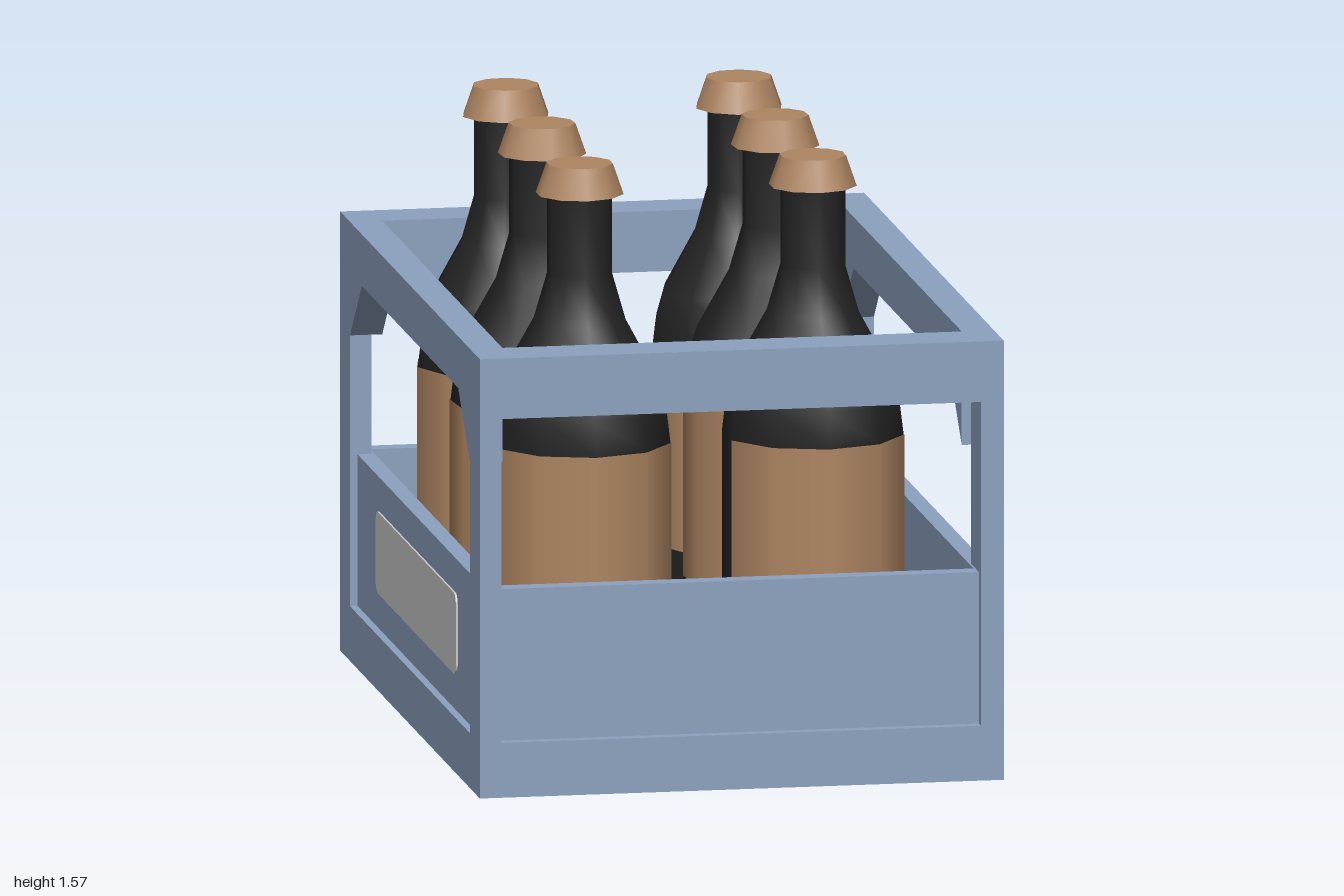
import * as THREE from 'three';

const mat = (name, color, extra = {}) => Object.assign(new THREE.MeshStandardMaterial({ color, ...extra }), { name });

export function createModel() {
  const blue = mat('crate blue', 0x8ca2bf);
  const black = mat('bottle black', 0x232323);
  const tan = mat('label tan', 0xae8562, { side: THREE.DoubleSide });
  const grey = mat('plate grey', 0xcacaca);
  const model = new THREE.Group();

  const add = (parent, name, geo, material, x = 0, y = 0, z = 0) => {
    const mesh = new THREE.Mesh(geo, material);
    mesh.name = name;
    mesh.position.set(x, y, z);
    parent.add(mesh);
    return mesh;
  };
  const extrude = (points, depth) => new THREE.ExtrudeGeometry(
    new THREE.Shape(points.map(p => new THREE.Vector2(...p))), { depth, bevelEnabled: false });

  // Crate: solid base, end frames, side rails, recessed panels
  const crate = new THREE.Group();
  crate.name = 'crate';
  model.add(crate);
  const baseTop = 0.145, top = 1.16, panelTop = 0.545, panelHeight = panelTop - baseTop;
  add(crate, 'base', new THREE.BoxGeometry(1.38, baseTop, 2), blue, 0, baseTop / 2, 0);

  const endFrame = (left, right) => extrude([
    [-0.69, baseTop], [left, baseTop], [left, 1], [right, 1],
    [right, baseTop], [0.69, baseTop], [0.69, top], [-0.69, top]], 0.14);
  add(crate, 'frontFrame', endFrame(-0.633, 0.63), blue, 0, 0, 0.86);
  add(crate, 'backFrame', endFrame(-0.633, 0.605), blue, 0, 0, -1);

  const rail = extrude([[-0.86, 0.86], [-0.69, 1.024], [0.69, 1.024],
    [0.86, 0.86], [0.86, top], [-0.86, top]], 0.085).rotateY(Math.PI / 2);

  // Rounded plate on each long side
  const w = 0.575, h = 0.1075, r = 0.03;
  const plateShape = new THREE.Shape();
  plateShape.absarc(w - r, h - r, r, 0, Math.PI / 2);
  plateShape.absarc(-w + r, h - r, r, Math.PI / 2, Math.PI);
  plateShape.absarc(-w + r, -h + r, r, Math.PI, Math.PI * 1.5);
  plateShape.absarc(w - r, -h + r, r, Math.PI * 1.5, Math.PI * 2);
  const plate = new THREE.ExtrudeGeometry(plateShape, { depth: 0.006, bevelEnabled: false, curveSegments: 5 })
    .translate(0, 0, -0.003).rotateY(Math.PI / 2);

  for (const s of [1, -1]) {
    const side = s > 0 ? 'left' : 'right', end = s > 0 ? 'front' : 'back';
    add(crate, side + 'Rail', rail, blue, s > 0 ? 0.605 : -0.69);
    add(crate, side + 'Panel', new THREE.BoxGeometry(0.045, panelHeight, 1.86), blue,
      s * 0.6475, baseTop + panelHeight / 2, 0);
    add(crate, end + 'Panel', new THREE.BoxGeometry(1.266, panelHeight, 0.05), blue,
      0, baseTop + panelHeight / 2, s * 0.945);
    add(crate, side + 'Plate', plate, grey, s * 0.672, 0.3475, 0);
  }

  // Bottles: ten-sided smooth lathe, wrapped front label, flared cap
  const profile = [[0, 0.145], [0.237, 0.145], [0.237, 0.15], [0.237, 0.84], [0.226, 0.93], [0.203, 1.01],
    [0.12, 1.16], [0.085, 1.28], [0.085, 1.5]].map(p => new THREE.Vector2(...p));
  const body = new THREE.LatheGeometry(profile, 10);
  const rad = THREE.MathUtils.degToRad;
  const label = new THREE.CylinderGeometry(0.2395, 0.2395, 0.487, 4, 1, true, rad(-72), rad(144));
  const cap = new THREE.CylinderGeometry(0.087, 0.115, 0.08, 10);

  const rows = [[0.505, 0], [-0.035, -32], [-0.555, -48]];
  for (const x of [-0.336, 0.278]) {
    for (const [z, turn] of rows) {
      const bottle = new THREE.Group();
      bottle.name = 'bottle';
      bottle.position.set(x, 0, z);
      bottle.rotation.y = rad(turn);
      add(bottle, 'bottleBody', body, black);
      add(bottle, 'bottleLabel', label, tan, 0, 0.5935, 0);
      add(bottle, 'bottleCap', cap, tan, 0, 1.53, 0);
      model.add(bottle);
    }
  }
  return model;
}
